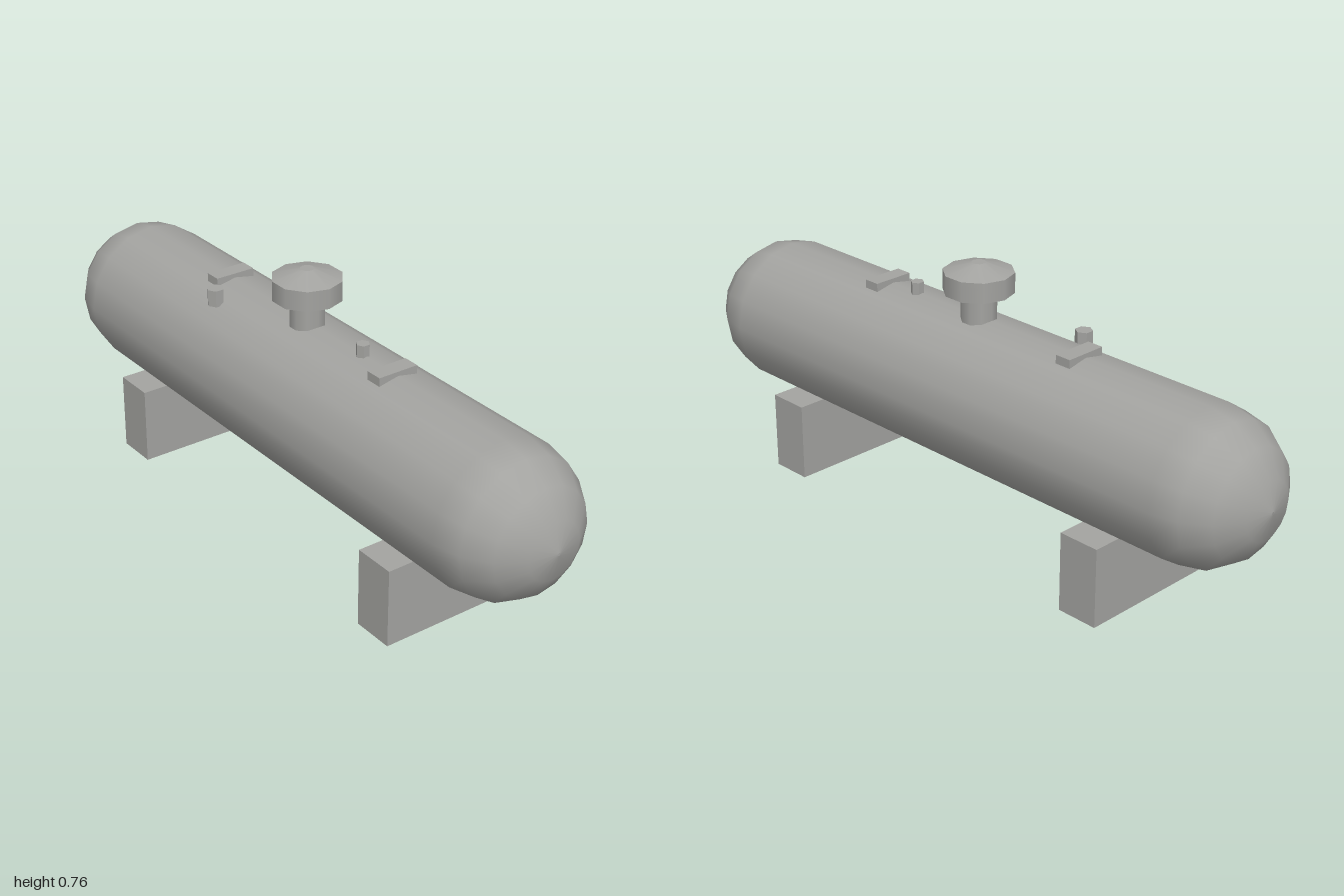
import * as THREE from 'three';

export function createModel() {
  const model = new THREE.Group();
  const grey = new THREE.MeshStandardMaterial({ color: 0xa3a3a0, side: THREE.DoubleSide });
  grey.name = 'steelGrey';

  const add = (name, geometry, x, y, z, parent = model) => {
    const mesh = new THREE.Mesh(geometry, grey);
    mesh.name = name;
    mesh.position.set(x, y, z);
    parent.add(mesh);
    return mesh;
  };
  const faceted = (geometry) => {
    const flat = geometry.toNonIndexed();
    flat.computeVertexNormals();
    return flat;
  };

  // Tank: long cylinder with round ends, each with a pinhole at the tip
  const R = 0.212, half = 1 - R, profile = [];
  for (const end of [-1, 1]) {
    for (let i = 0; i <= 4; i++) {
      const a = (end < 0 ? 4 - i : i) * Math.PI / 8;
      profile.push(new THREE.Vector2(Math.max(0.004, R * Math.cos(a)), end * (half + R * Math.sin(a))));
    }
  }
  const tank = add('tank', new THREE.LatheGeometry(profile, 16), 0, 0.39, 0);
  tank.rotation.z = -Math.PI / 2;

  // Saddle supports: boxes open underneath; lifting plates on top
  for (const side of [-1, 1]) {
    const label = side > 0 ? 'left' : 'right';
    const saddle = new THREE.BoxGeometry(0.122, 0.226, 0.426);
    const index = Array.from(saddle.index.array);
    index.splice(18, 6); // remove the bottom face
    saddle.setIndex(index);
    saddle.clearGroups();
    add(label + 'Saddle', saddle, side * 0.573, 0.113, 0);
    add(label + 'LiftingPlate', new THREE.BoxGeometry(0.048, 0.026, 0.122), side * 0.366, 0.601, 0);
  }

  // Manway dome: neck under a hood that is hollow below
  const dome = new THREE.Group();
  dome.name = 'dome';
  dome.rotation.y = Math.PI / 2;
  model.add(dome);
  add('domeNeck', new THREE.CylinderGeometry(0.05, 0.05, 0.15, 10, 1, true), 0, 0.66, 0, dome);
  add('domeRim', new THREE.CylinderGeometry(0.098, 0.098, 0.057, 10, 1, true), 0, 0.7035, 0, dome);
  add('domeRoof', new THREE.CylinderGeometry(0.02, 0.098, 0.025, 10, 1, true), 0, 0.7445, 0, dome);
  const lid = add('domeTop', new THREE.CircleGeometry(0.02, 10), 0, 0.757, 0, dome);
  lid.rotation.set(-Math.PI / 2, 0, Math.PI / 2);

  // Valve stubs
  add('smallValve', faceted(new THREE.CylinderGeometry(0.019, 0.019, 0.05, 6)), 0.243, 0.609, 0);
  add('largeValve', faceted(new THREE.CylinderGeometry(0.0245, 0.0245, 0.048, 6)), -0.288, 0.594, 0.103);

  return model;
}
